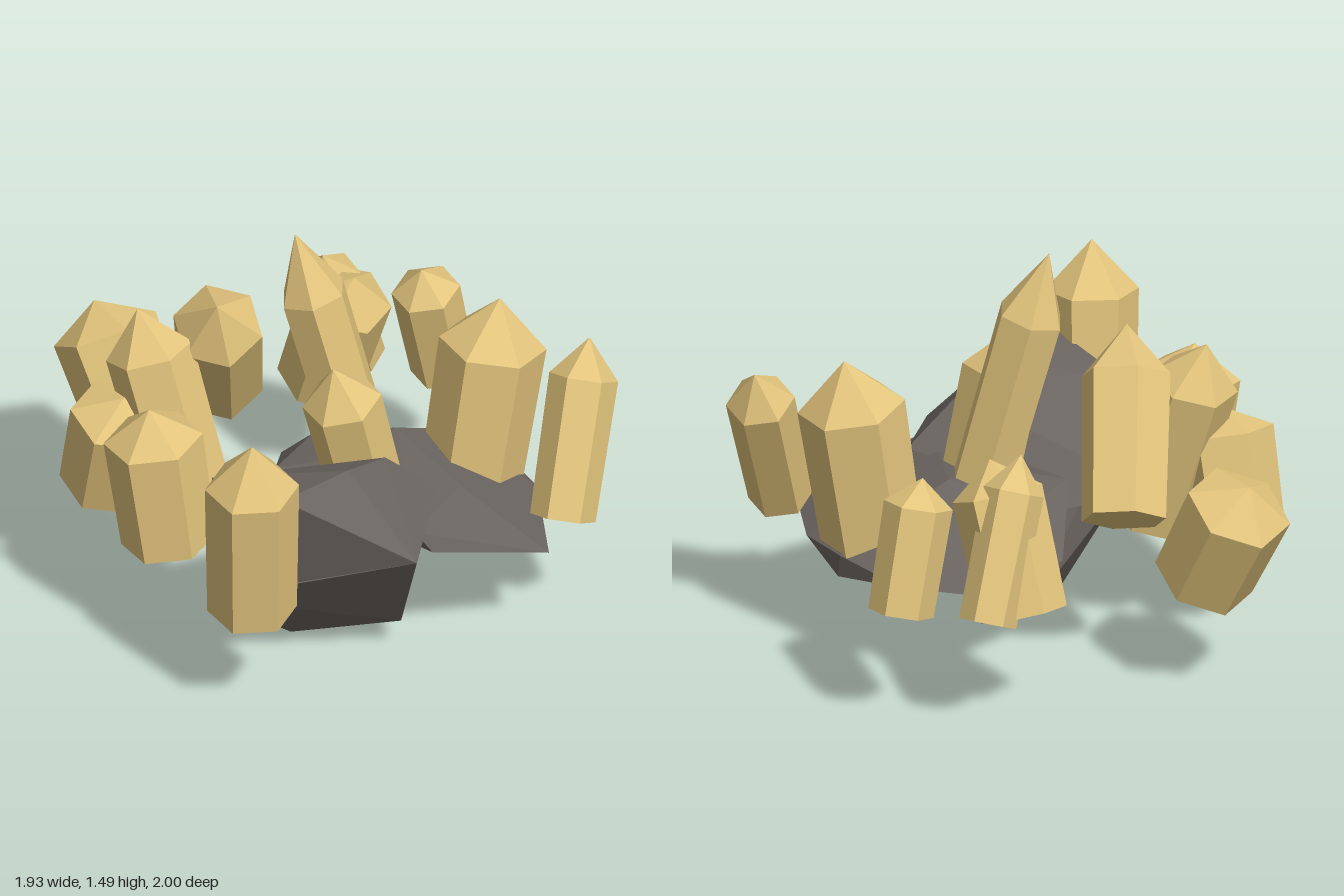
import * as THREE from 'three';
import { ConvexGeometry } from 'three/addons/geometries/ConvexGeometry.js';

const V = (p) => new THREE.Vector3(...p);

// Six-sided crystal from the base centre to the tip; shoulder is where the point begins
function crystalGeometry(base, tip, r, shoulder, turn) {
  const axis = V(tip).sub(V(base));
  const len = axis.length();
  const profile = [[0, 0], [r * 0.95, 0], [r, len * shoulder], [0, len]]
    .map(([x, y]) => new THREE.Vector2(x, y));
  const geo = new THREE.LatheGeometry(profile, 6).toNonIndexed();
  geo.rotateY(THREE.MathUtils.degToRad(turn));
  geo.applyQuaternion(new THREE.Quaternion().setFromUnitVectors(
    new THREE.Vector3(0, 1, 0), axis.normalize()));
  geo.translate(...base);
  geo.computeVertexNormals();
  return geo;
}

export function createModel() {
  const model = new THREE.Group();
  model.name = 'crystalCluster';
  const gold = new THREE.MeshStandardMaterial({ color: 0xe2c47c, flatShading: true });
  gold.name = 'goldCrystal';
  const stone = new THREE.MeshStandardMaterial({ color: 0x6a6460, flatShading: true });
  stone.name = 'darkStone';

  const add = (name, geo, mat) => {
    const mesh = new THREE.Mesh(geo, mat);
    mesh.name = name;
    model.add(mesh);
  };

  // Faceted rocks
  const rocks = {
    lowerRock: [
      [-0.75, 0.35, 0.28], [-0.27, 0.54, 0.85], [0.05, 0.5, 0.6],
      [-0.31, 0, 0.25], [0, 0.12, 0.3], [-0.04, 0.1, 0.09], [-0.1, 0.11, 0.6],
      [0.04, 0.38, 0.3], [-0.42, 0.48, 0], [-0.23, 0.45, 0.04],
    ],
    rockRidge: [
      [-0.65, 0.84, 0.55], [-0.63, 0.76, 0.17], [-0.34, 0.84, 0.57], [-0.11, 0.775, 0.53],
      [0.08, 0.6, 0.6], [-0.27, 0.54, 0.85], [-0.75, 0.36, 0.28], [-0.42, 0.52, 0],
      [-0.23, 0.45, 0.1],
    ],
    rockSlab: [
      [0.07, 0.4, -0.18], [0.38, 0.34, -0.14], [0.585, 0.36, 0.12], [0.62, 0.41, 0.4],
      [0.61, 0.32, 0.42], [0.56, 0.4, 0.63], [0.29, 0.385, 0.96], [-0.11, 0.48, 0.77],
      [-0.15, 0.56, 0.72], [-0.21, 0.52, 0.18], [-0.2, 0.56, 0.06], [0, 0.61, 0.25],
      [0.22, 0.63, 0.25], [0.44, 0.55, 0.3], [0.2, 0.55, 0.6], [0.22, 0.34, 0.4],
      [0.05, 0.57, 0],
    ],
  };
  for (const [name, points] of Object.entries(rocks)) {
    add(name, new ConvexGeometry(points.map(V)), stone);
  }

  // Crystals: name, base, tip, radius, shoulder fraction, turn in degrees
  const crystals = [
    ['rearCrystal', [-0.17, 0.41, -0.655], [-0.17, 0.835, -0.89], 0.195, 0.77, 45],
    ['rearLeaningCrystal', [-0.54, 0.43, -0.455], [-0.58, 0.85, -0.33], 0.18, 0.8, 45],
    ['rearTallCrystal', [-0.41, 0.42, -0.155], [-0.455, 1.15, -0.385], 0.16, 0.78, 45],
    ['slantedCrystal', [0.01, 0.62, -0.43], [-0.3, 1.2, -0.135], 0.165, 0.74, 30],
    ['sideCrystal', [-0.65, 0.42, -0.03], [-0.71, 0.975, -0.07], 0.18, 0.78, 45],
    ['frontSideCrystal', [-0.755, 0.41, 0.5], [-0.82, 1.15, 0.565], 0.17, 0.75, 50],
    ['centreTallCrystal', [0.09, 0.5, 0.24], [-0.08, 1.49, 0.04], 0.125, 0.75, 15],
    ['centreSmallCrystal', [0.01, 0.45, 0.33], [-0.165, 1.08, 0.32], 0.145, 0.76, 45],
    ['frontWideCrystal', [0.44, 0.43, 0.42], [0.54, 1.13, 0.46], 0.195, 0.74, 45],
    ['frontSlantedCrystal', [0.43, 0.44, 0.89], [0.695, 1.03, 0.76], 0.125, 0.78, 45],
    ['farWideCrystal', [0.52, 0.41, -0.435], [0.48, 0.94, -0.22], 0.165, 0.78, 45],
    ['farThinCrystal', [0.7, 0.43, -0.43], [0.45, 0.99, -0.35], 0.11, 0.78, 45],
    ['farOuterCrystal', [0.855, 0.43, -0.145], [0.72, 0.91, -0.12], 0.125, 0.8, 45],
  ];
  for (const [name, ...spec] of crystals) add(name, crystalGeometry(...spec), gold);

  return model;
}
